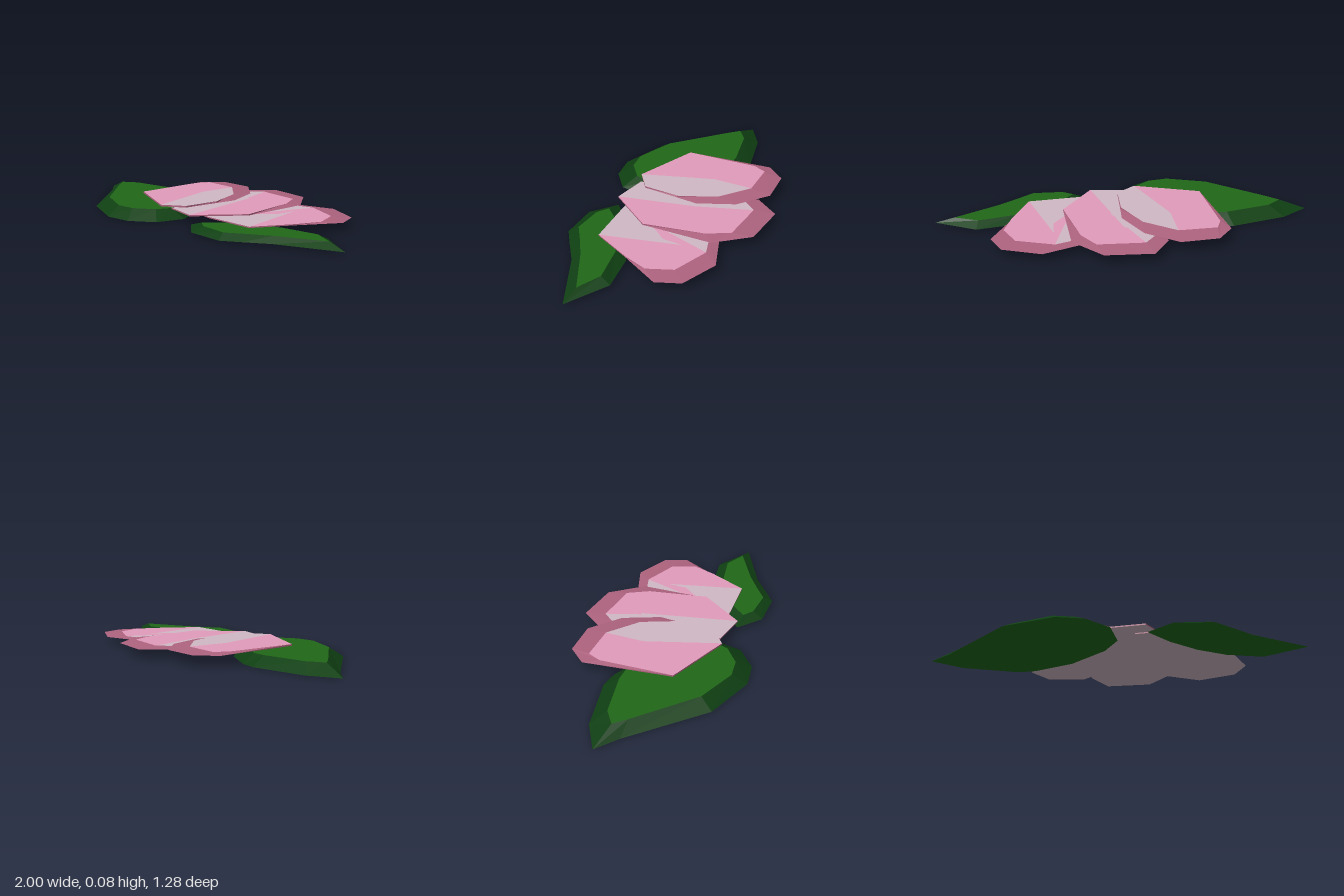
import * as THREE from 'three';

const mat = (color) => new THREE.MeshStandardMaterial({ color, flatShading: true });
const leafGreen = mat(0x206818), leafDark = mat(0x0f3f12);
const pink = mat(0xe39bbd), pale = mat(0xd0b8c4), rose = mat(0xae637e);

// Flat polygon of [x, z] points at height y, facing up or down
function face(name, points, y, material, up = true) {
  const s = up ? -1 : 1;
  const shape = new THREE.Shape(points.map(([x, z]) => new THREE.Vector2(x, s * z)));
  const geometry = new THREE.ShapeGeometry(shape).rotateX(s * Math.PI / 2).translate(0, y, 0);
  const mesh = new THREE.Mesh(geometry, material);
  mesh.name = name;
  return mesh;
}

// Bevelled band from the outer outline at y0 to the inner outline at y1
function rim(name, outer, inner, y0, y1, material) {
  const pos = [];
  outer.forEach(([ax, az], i) => {
    const j = (i + 1) % outer.length;
    const a = [ax, y0, az], b = [outer[j][0], y0, outer[j][1]];
    const c = [inner[i][0], y1, inner[i][1]], d = [inner[j][0], y1, inner[j][1]];
    pos.push(...a, ...c, ...b, ...b, ...c, ...d);
  });
  const geometry = new THREE.BufferGeometry();
  geometry.setAttribute('position', new THREE.Float32BufferAttribute(pos, 3));
  geometry.computeVertexNormals();
  const mesh = new THREE.Mesh(geometry, material);
  mesh.name = name;
  return mesh;
}

function makeLeaf({ name, outer, inner, y0, y1 }) {
  const g = new THREE.Group();
  g.name = name;
  g.add(
    face('leafTop', inner, y1, leafGreen),
    rim('leafRim', outer, inner, y0, y1, leafDark),
    face('leafUnderside', outer, y0, leafGreen, false));
  return g;
}

// A fold line (from inner point `tip` to inner point `base`) splits the petal top
// into a pink side and a pale side
function makePetal({ name, outer, inner, y0, y1, tip, base, fold, pinkFirst }) {
  const g = new THREE.Group();
  g.name = name;
  const n = inner.length;
  const tipToBase = inner.slice(tip, base + 1);
  const baseToTip = [];
  for (let i = base; i <= tip + n; i++) baseToTip.push(inner[i % n]);
  const right = [...tipToBase, ...[...fold].reverse()];
  const left = [...baseToTip, ...fold];
  g.add(
    face('petalRightHalf', right, y1, pinkFirst ? pale : pink),
    face('petalLeftHalf', left, y1, pinkFirst ? pink : pale),
    rim('petalRim', outer, inner, y0, y1, rose),
    face('petalUnderside', outer, y0, pale, false));
  return g;
}

const leaves = [
  {
    name: 'largeLeaf', y0: 0, y1: 0.055,
    outer: [[-1, -0.52], [-0.8, -0.54], [-0.46, -0.46], [-0.37, -0.4], [-0.2, -0.2], [-0.09, 0.06],
      [-0.08, 0.22], [-0.19, 0.36], [-0.36, 0.4], [-0.52, 0.35], [-0.75, 0.12], [-0.93, -0.38]],
    inner: [[-0.87, -0.42], [-0.76, -0.44], [-0.48, -0.37], [-0.4, -0.33], [-0.27, -0.15], [-0.18, 0.08],
      [-0.17, 0.2], [-0.24, 0.27], [-0.38, 0.3], [-0.5, 0.26], [-0.68, 0.07], [-0.84, -0.33]],
  },
  {
    name: 'smallLeaf', y0: 0.012, y1: 0.043,
    outer: [[0.04, 0.37], [0.22, 0.31], [0.42, 0.28], [0.62, 0.29], [0.84, 0.36], [1, 0.59],
      [0.61, 0.59], [0.45, 0.62], [0.33, 0.64], [0.12, 0.54]],
    inner: [[0.13, 0.42], [0.25, 0.37], [0.42, 0.34], [0.58, 0.35], [0.8, 0.41], [0.9, 0.53],
      [0.6, 0.54], [0.45, 0.56], [0.33, 0.58], [0.17, 0.49]],
  },
];

// At the base of each petal the inner outline meets the outer one
const petals = [
  {
    name: 'upperPetal', y0: 0.068, y1: 0.078, tip: 3, base: 8, pinkFirst: true,
    outer: [[-0.51, -0.07], [-0.33, -0.58], [-0.19, -0.64], [0.02, -0.55], [0.12, -0.34],
      [0.11, -0.1], [0.04, 0.02], [-0.07, 0.21], [-0.22, 0.24]],
    inner: [[-0.51, -0.07], [-0.33, -0.48], [-0.26, -0.54], [-0.05, -0.44], [0.05, -0.23],
      [0.045, -0.1], [0.04, 0.01], [-0.07, 0.21], [-0.22, 0.24]],
    fold: [[-0.16, -0.22]],
  },
  {
    name: 'middlePetal', y0: 0.058, y1: 0.066, tip: 2, base: 6, pinkFirst: false,
    outer: [[-0.02, -0.2], [0.05, -0.48], [0.21, -0.565], [0.45, -0.42], [0.51, -0.18],
      [0.33, 0.21], [0.03, 0.37], [-0.15, 0.24]],
    inner: [[0.02, -0.16], [0.09, -0.4], [0.18, -0.44], [0.42, -0.3], [0.43, -0.15],
      [0.33, 0.21], [0.03, 0.37], [-0.15, 0.24]],
    fold: [[0.13, 0], [0.17, -0.22]],
  },
  {
    name: 'lowerPetal', y0: 0.049, y1: 0.056, tip: 2, base: 6, pinkFirst: false,
    outer: [[0.25, 0], [0.45, -0.23], [0.71, -0.2], [0.87, -0.02], [0.86, 0.13],
      [0.64, 0.29], [0.43, 0.455], [0.13, 0.33], [0.02, 0.25]],
    inner: [[0.28, 0.03], [0.47, -0.17], [0.6, -0.15], [0.76, 0.02], [0.75, 0.18],
      [0.64, 0.29], [0.43, 0.455], [0.13, 0.33], [0.02, 0.25]],
    fold: [[0.3, 0.17], [0.47, 0.09], [0.53, -0.02]],
  },
];

export function createModel() {
  const model = new THREE.Group();
  model.name = 'flower';
  leaves.forEach((l) => model.add(makeLeaf(l)));
  petals.forEach((p) => model.add(makePetal(p)));
  return model;
}
